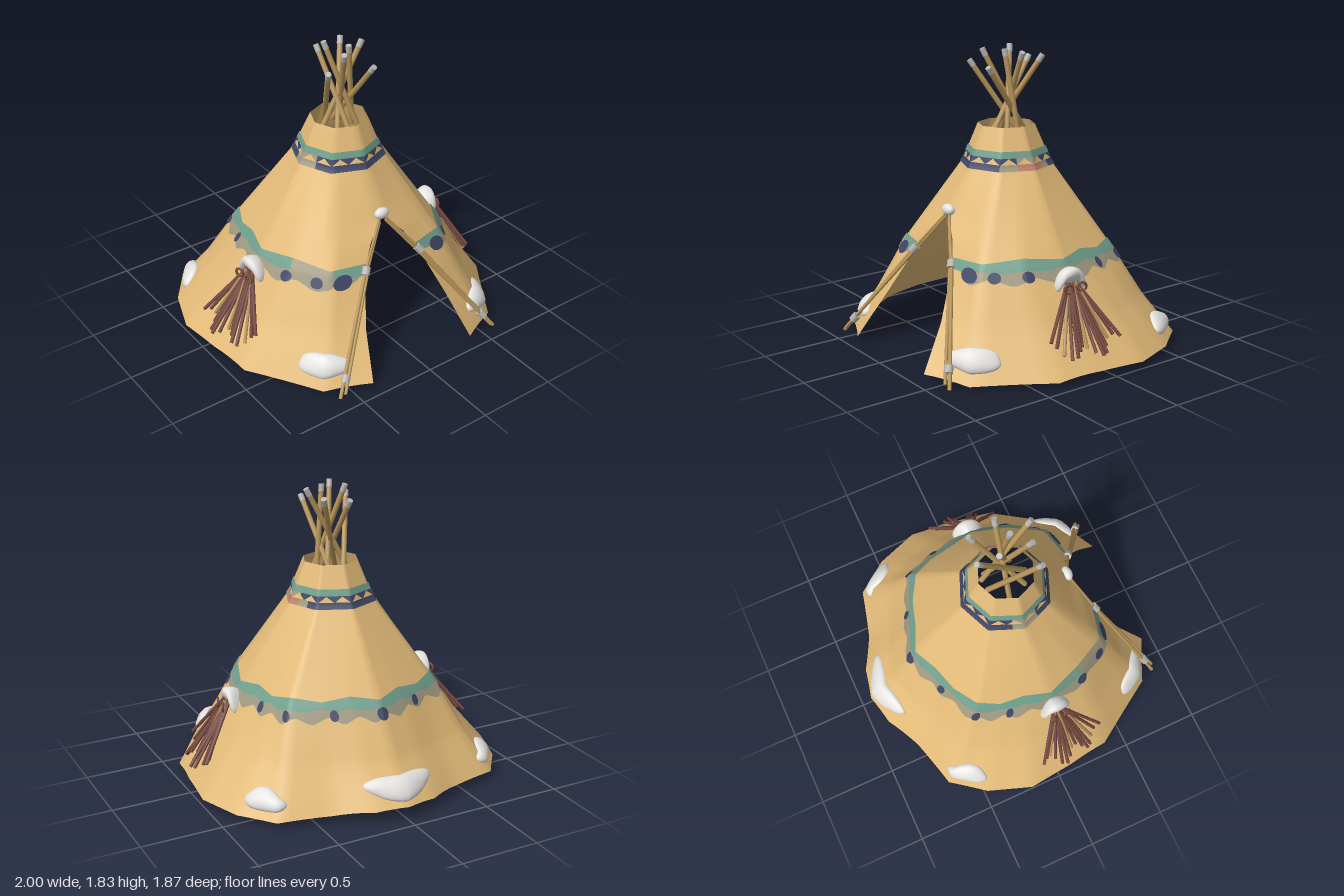
import * as THREE from 'three';
import { mergeVertices } from 'three/addons/utils/BufferGeometryUtils.js';

const mat = (name, color, side = THREE.FrontSide) => {
  const m = new THREE.MeshStandardMaterial({ color, side });
  m.name = name;
  return m;
};
const M = {
  canvas: mat('tan canvas', 0xe2ba78, THREE.DoubleSide),
  teal: mat('teal paint', 0x6f9f8c),
  grey: mat('faded grey paint', 0x9f9880),
  navy: mat('navy paint', 0x3f4665),
  pink: mat('faded red paint', 0xbd7e66),
  snow: mat('snow', 0xe4e2df),
  pole: mat('pole wood', 0xb8955a),
  stick: mat('brown sticks', 0x784a42),
  tip: mat('grey pole tips', 0xb9b7b2),
  dark: mat('dark interior', 0x2c2317),
};
const V = (x, y, z) => new THREE.Vector3(x, y, z);
const lerp = THREE.MathUtils.lerp;

// The upper cone is an octagon; its corners sit on these columns of each half
const CORNERS = [0, 3, 6, 8, 9];
function side(u) {
  const w = Math.min(Math.abs(u), 9);
  let i = 3;
  while (w < CORNERS[i]) i--;
  return i + (w - CORNERS[i]) / (CORNERS[i + 1] - CORNERS[i]);
}
function ring(u, r, y, cz) {
  const s = side(u), i = Math.min(3, Math.floor(s));
  const corner = (n) => V(r * Math.sin(n * Math.PI / 4), y, cz - r * Math.cos(n * Math.PI / 4));
  return corner(i).lerp(corner(i + 1), s - i);
}

// Canvas columns from back centre round to the door edge: hem x, y, z, then x, z at y = 0.6
const COLS = [
  [0, 0.09, -0.935, 0, -0.585], [0.2, 0.08, -0.89, 0.17, -0.53], [0.42, 0.06, -0.775, 0.335, -0.46],
  [0.74, 0.05, -0.69, 0.505, -0.38], [0.9, 0.045, -0.48, 0.555, -0.23], [1.0, 0.045, -0.2, 0.59, -0.08],
  [0.97, 0.05, 0.1, 0.62, 0.1], [0.93, 0.03, 0.37, 0.555, 0.34], [0.65, 0.02, 0.8, 0.42, 0.55],
].map(([bx, by, bz, mx, mz], i) => [V(bx, by, bz), V(lerp(mx, bx, 0.49), 0.3, lerp(mz, bz, 0.49)),
  V(mx, 0.6, mz), ring(i, 0.275, 1.12, 0.055), ring(i, 0.177, 1.35, 0.06)]);
// Door edge closes to the centre line at its peak
COLS.push([V(0.38, 0.04, 0.93), V(0.31, 0.3, 0.76), V(0.2, 0.6, 0.6), V(0.115, 0.74, 0.545),
  V(0, 0.84, 0.5), ring(9, 0.275, 1.12, 0.055), ring(9, 0.177, 1.35, 0.06)]);

function onColumn(col, y) {
  if (y <= col[0].y) return col[0].clone();
  let i = 1;
  while (i < col.length - 1 && y > col[i].y) i++;
  const a = col[i - 1], b = col[i];
  return a.clone().lerp(b, Math.min(1, (y - a.y) / (b.y - a.y)));
}
// Point on the canvas; u runs -9..9 from door edge to door edge through the back
function surf(u, y) {
  const w = Math.min(Math.abs(u), 9), i = Math.min(8, Math.floor(w));
  const p = onColumn(COLS[i], y).lerp(onColumn(COLS[i + 1], y), w - i);
  if (u < 0) p.x *= -1;
  return p;
}
const hem = (u) => surf(u, 0).y;
function P(u, y, off = 0) {
  const p = surf(u, y);
  if (!off) return p;
  const yy = Math.max(y, hem(u) + 0.05);
  const du = surf(Math.min(9, u + 0.15), yy).sub(surf(Math.max(-9, u - 0.15), yy));
  const n = surf(u, yy + 0.03).sub(surf(u, yy - 0.03)).cross(du);
  if (y > 0.84 && Math.abs(u) > 8.999) n.x = 0; // both halves meet on the centre line
  return p.addScaledVector(n.normalize(), off);
}

export function createModel() {
  const root = new THREE.Group();
  root.name = 'tent';
  const add = (name, geo, m) => {
    const mesh = new THREE.Mesh(geo, m);
    mesh.name = name;
    root.add(mesh);
    return mesh;
  };

  // Sheet following the canvas between two height functions
  function sheet(name, m, u0, u1, lo, hi, off, nu, nv = 4) {
    const pos = [], idx = [];
    for (let i = 0; i <= nu; i++) {
      const u = lerp(u0, u1, i / nu);
      for (let j = 0; j <= nv; j++) pos.push(...P(u, lerp(lo(u), hi(u), j / nv), off).toArray());
    }
    for (let i = 0; i < nu; i++) for (let j = 0; j < nv; j++) {
      const a = i * (nv + 1) + j, b = a + 1, c = a + nv + 1, d = c + 1;
      if (off < 0) idx.push(a, c, b, b, c, d);
      else idx.push(a, b, c, b, d, c);
    }
    let g = new THREE.BufferGeometry();
    g.setAttribute('position', new THREE.Float32BufferAttribute(pos, 3));
    g.setIndex(idx);
    g = mergeVertices(g);
    g.computeVertexNormals();
    add(name, g, m);
  }
  const k = (v) => () => v;
  const tri = (t) => Math.abs((((t % 1) + 1) % 1) - 0.5) * 2;
  const dot = (name, m, u, y, ru, ry, off) => {
    const e = (x) => ry * Math.sqrt(Math.max(0, 1 - ((x - u) / ru) ** 2));
    sheet(name, m, u - ru, u + ru, (x) => y - e(x), (x) => y + e(x), off, 12, 2);
  };

  sheet('canvasCover', M.canvas, -9, 9, hem, k(1.35), 0, 72, 40);

  // Dark inside of the back wall with its reddish hem
  sheet('innerBackWall', M.dark, -2.2, 2.2, hem, k(0.95), -0.012, 22, 12);
  sheet('innerHem', M.stick, -2.2, 2.2, hem, (u) => hem(u) + 0.06 + 0.008 * tri(u * 1.5), -0.02, 22, 2);
  // Faded marks on the inside of one wall
  dot('innerMark', M.pink, -7.6, 0.6, 0.14, 0.08, -0.008);
  dot('innerMark', M.pink, -7.65, 0.46, 0.16, 0.03, -0.008);

  // Lower painted band: teal over a grey fringe that dies out at the door
  const waveTop = (u) => 0.63 + 0.025 * tri(u / 2 + 0.5) - 0.025 * Math.max(0, Math.abs(u) - 8);
  const tealLow = (u) => 0.58 + 0.015 * tri(u) - 0.02 * Math.max(0, Math.abs(u) - 8);
  const fringe = (u) => Math.min(tealLow(u) - 0.001,
    0.51 + 0.045 * tri(u + 0.2) + 0.12 * Math.max(0, Math.abs(u) - 8.4));
  sheet('lowerBandTeal', M.teal, -9, 9, tealLow, waveTop, 0.007, 144);
  sheet('lowerBandGrey', M.grey, -9, 9, fringe, tealLow, 0.007, 144);
  sheet('fadedPatch', M.grey, -8.1, -7, k(0.585), waveTop, 0.009, 12);
  dot('bandDot', M.navy, 0, 0.555, 0.2, 0.035, 0.011);
  for (const s of [-1, 1]) {
    for (const u of [1.6, 3.1, 4.4, 6.95, 7.7]) dot('bandDot', M.navy, s * u, 0.558, 0.15, 0.03, 0.011);
    dot('bandDiamond', M.navy, s * 8.35, 0.56, 0.27, 0.04, 0.011);
  }

  // Upper painted band: teal strip, hanging triangles, coloured base strip
  sheet('upperBandTeal', M.teal, -9, 9, k(1.172), k(1.213), 0.007, 144);
  for (const [a, b, m, base] of [[-9, -7, M.navy, M.navy], [-7, -5, M.grey, M.grey], [-5, 4, M.navy, M.navy],
    [4, 5, M.navy, M.grey], [5, 7, M.grey, M.pink], [7, 8, M.navy, M.grey], [8, 9, M.navy, M.navy]]) {
    sheet('upperBandTriangles', m, a, b, (u) => 1.172 - 0.036 * tri(2 * side(u)), k(1.174), 0.0075, (b - a) * 8);
    sheet('upperBandBase', base, a, b, k(1.1), k(1.138), 0.007, (b - a) * 8);
  }

  // Straight rod between two points
  function rod(name, a, b, r, m, sides = 8) {
    const d = b.clone().sub(a);
    const mesh = add(name, new THREE.CylinderGeometry(r, r, d.length(), sides), m);
    mesh.position.copy(a).add(b).multiplyScalar(0.5);
    mesh.quaternion.setFromUnitVectors(V(0, 1, 0), d.normalize());
  }

  // Crossing poles through the smoke hole: tip x, y, z, then foot x, z
  for (const [x, y, z, fx, fz] of [
    [-0.18, 1.72, 0.2, -0.02, -0.07], [-0.06, 1.81, -0.01, 0.1, 0.13], [-0.03, 1.74, -0.13, 0.0, 0.19],
    [0.13, 1.76, -0.11, -0.08, 0.15], [0.16, 1.79, 0.06, -0.12, 0.03], [0.1, 1.71, 0.26, 0.05, -0.08],
    [-0.06, 1.8, 0.19, 0.08, -0.05], [0.04, 1.8, 0.1, 0.11, 0.04],
  ]) {
    const tip = V(x, y, z), foot = V(fx, 1.25, fz), neck = tip.clone().lerp(foot, 0.06);
    rod('topPole', foot, neck, 0.017, M.pole);
    rod('topPoleTip', neck, tip.clone().lerp(foot, -0.02), 0.0185, M.tip);
  }

  // Door poles bending at the upper lashing
  for (const s of [-1, 1]) {
    const knee = V(s * 0.205, 0.6, 0.612);
    rod('doorPole', V(0, 0.865, 0.488), knee, 0.009, M.pole);
    rod('doorPole', V(s * 0.02, 0.82, 0.505), V(s * 0.19, 0.59, 0.61), 0.008, M.pole);
    rod('doorPole', knee, V(s * 0.6, 0.01, 0.9), 0.012, M.pole);
    rod('doorPole', V(s * 0.19, 0.59, 0.615), V(s * 0.57, 0.035, 0.91), 0.01, M.pole);
    rod('doorLashing', V(s * 0.19, 0.615, 0.602), V(s * 0.215, 0.58, 0.622), 0.027, M.tip);
    rod('doorLashing', V(s * 0.52, 0.12, 0.85), V(s * 0.545, 0.085, 0.87), 0.027, M.tip);
  }

  // Stick bundles hanging on both sides
  for (const s of [-1, 1]) {
    for (let i = 0; i < 15; i++) {
      const t = i / 14, w = Math.sin(i * 7.3);
      rod('bundleStick', P(s * (5.88 + 0.25 * t), 0.5, 0.03 + 0.012 * w),
        P(s * (5.3 + 1.65 * t), 0.14 + 0.16 * (t - 0.5) ** 2 + 0.035 * w, 0.03 + 0.02 * Math.cos(i * 5)), 0.011,
        i % 5 === 2 ? M.pole : M.stick, 6);
    }
    for (const e of [-0.17, 0.17]) {
      const loop = add('bundleLoop', new THREE.TorusGeometry(0.026, 0.008, 6, 14), M.stick);
      loop.position.copy(P(s * (6 + e), 0.465, 0.06));
      loop.rotation.y = s * 1.2;
    }
  }

  // Snow lumps wrapped on the canvas
  function lump(u, y, ru, ry, h, arch = 0) {
    const g = new THREE.SphereGeometry(1, 28, 18), p = g.attributes.position;
    for (let i = 0; i < p.count; i++) {
      const a = -p.getX(i), b = p.getY(i), c = p.getZ(i);
      const w = 1 + 0.1 * Math.sin(3 * Math.atan2(b, a) + u);
      const q = P(u + a * ru * w, y + b * ry * w - arch * a * a, Math.max(c, 0) * h + 0.004);
      p.setXYZ(i, q.x, q.y, q.z);
    }
    g.computeVertexNormals();
    add('snowPatch', g, M.snow);
  }
  lump(0, 0.185, 1.12, 0.062, 0.04);
  for (const s of [-1, 1]) {
    lump(s * 8.08, 0.145, 0.48, 0.062, 0.04);
    lump(s * 3.4, 0.14, 0.52, 0.055, 0.04);
    lump(s * 5.95, 0.55, 0.44, 0.04, 0.08, 0.08);
  }
  const cap = add('doorPeakSnow', new THREE.SphereGeometry(1, 20, 14), M.snow);
  cap.scale.set(0.05, 0.035, 0.032);
  cap.position.set(0, 0.868, 0.493);

  return root;
}
